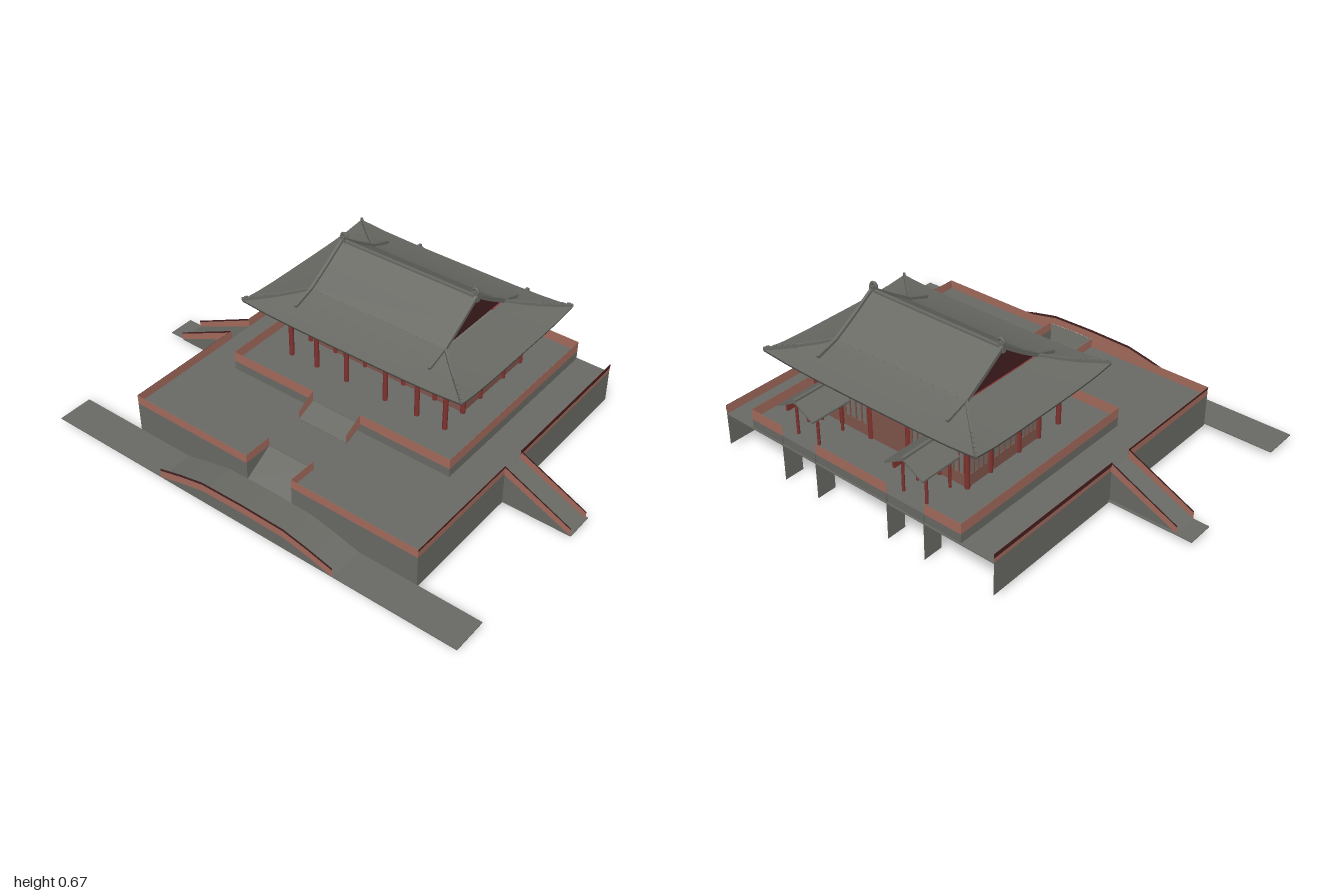
import * as THREE from 'three';

const mat = (name, color) => {
  const m = new THREE.MeshStandardMaterial({ color, side: THREE.DoubleSide });
  m.name = name;
  return m;
};

export function createModel() {
  const root = new THREE.Group();
  root.name = 'palaceHall';
  const stone = mat('stone', 0x6a6a65), tile = mat('roofTile', 0x696a64), pink = mat('parapetPink', 0xa56c5c),
    red = mat('columnRed', 0x80332f), maroon = mat('darkMaroon', 0x442021), rose = mat('screenRose', 0x80564d),
    panel = mat('panelGrey', 0x74726c);

  const add = (parent, name, geo, m) => {
    const mesh = new THREE.Mesh(geo, m);
    mesh.name = name;
    parent.add(mesh);
    return mesh;
  };
  // box given by its limits on each axis
  const box = (parent, name, m, x0, x1, y0, y1, z0, z1) => {
    const b = add(parent, name, new THREE.BoxGeometry(x1 - x0, y1 - y0, z1 - z0), m);
    b.position.set((x0 + x1) / 2, (y0 + y1) / 2, (z0 + z1) / 2);
    return b;
  };
  // outline in the x-y plane, extruded from z0 to z1
  const outline = pts => new THREE.Shape(pts.map(p => new THREE.Vector2(...p)));
  const slab = (parent, name, m, pts, z0, z1) => {
    const geo = new THREE.ExtrudeGeometry(outline(pts), { depth: z1 - z0, bevelEnabled: false });
    return add(parent, name, geo.translate(0, 0, z0), m);
  };
  // flat sheet with an outline in the x-y plane
  const sheet = (parent, name, m, pts, z) => add(parent, name, new THREE.ShapeGeometry(outline(pts)).translate(0, 0, z), m);
  // square bar between two points
  const bar = (parent, name, m, a, b, w, h) => {
    const p = new THREE.Vector3(...a), q = new THREE.Vector3(...b), dir = q.clone().sub(p);
    const geo = new THREE.BoxGeometry(w, h, dir.length());
    geo.applyMatrix4(new THREE.Matrix4().lookAt(q, p, new THREE.Vector3(0, 1, 0)));
    return add(parent, name, geo, m).position.copy(p).add(q).multiplyScalar(0.5);
  };
  // thin upright walls along one axis
  const T = 0.0004;
  const wallX = (g, n, m, x0, x1, z, y0, y1) => box(g, n, m, x0, x1, y0, y1, z - T, z + T);
  const wallZ = (g, n, m, x, z0, z1, y0, y1) => box(g, n, m, x - T, x + T, y0, y1, z0, z1);

  // ---- lower terrace: floor with a notch, thin walls on three sides
  const lower = new THREE.Group();
  lower.name = 'lowerTerrace';
  root.add(lower);
  const L = -0.638, R = 0.703, F = 0.572, B = -0.73, NL = -0.075, NR = 0.14, NZ = 0.445, Y = 0.162;
  slab(lower, 'lowerFloor', stone, [[L, -F], [NL, -F], [NL, -NZ], [NR, -NZ], [NR, -F], [R, -F], [R, -B], [L, -B]],
    Y - 0.004, Y).rotation.x = -Math.PI / 2;
  for (const [a, b] of [[L, NL], [NR, R]]) {
    wallX(lower, 'frontWall', stone, a, b, F, 0.02, Y);
    wallX(lower, 'frontParapet', pink, a, b, F, Y, 0.2);
  }
  for (const [x, s] of [[L, -1], [R, 1]]) {
    wallZ(lower, 'sideWall', stone, x, B, F, 0.02, Y);
    wallZ(lower, 'sideParapet', pink, x, 0.035, F, Y, 0.2);
    wallZ(lower, 'sideParapet', pink, x, B, -0.07, Y, 0.2);
    wallZ(lower, 'parapetBand', maroon, x + s * 0.0015, B, -0.07, 0.182, 0.2);
    wallZ(lower, 'parapetCoping', maroon, x + s * 0.0015, 0.035, F, 0.191, 0.2);
  }
  for (const x of [NL, NR]) {
    wallZ(lower, 'notchWall', stone, x, NZ, F, 0.02, Y);
    wallZ(lower, 'notchParapet', pink, x, NZ, F, Y, 0.2);
  }
  wallX(lower, 'notchBackWall', stone, NL, NR, NZ, 0.02, Y - 0.004);
  bar(lower, 'frontRamp', stone, [(NL + NR) / 2, Y - 0.003, NZ], [(NL + NR) / 2, 0.083, F], NR - NL, 0.004);

  // ---- paths and the arched bridge in front
  box(root, 'frontPath', stone, -0.94, 0.975, 0.026, 0.03, F, 0.722);
  box(root, 'crossPath', stone, -1, 1, 0.026, 0.03, -0.08, 0.035);
  const arch = [[-0.38, 0.03], [-0.27, 0.06], [-0.16, 0.084], [0.035, 0.088], [0.23, 0.084], [0.34, 0.06], [0.45, 0.03]];
  slab(root, 'bridge', stone, arch, F, 0.723);
  const raised = h => arch.map(([x, y]) => [x, y + h]);
  sheet(root, 'bridgeRail', pink, [...arch, ...raised(0.032).reverse()], 0.724);
  sheet(root, 'bridgeRailCap', maroon, [...raised(0.032), ...raised(0.043).reverse()], 0.724);

  // ---- side stairs
  for (const [x0, x1] of [[L, -0.932], [R, 0.995]]) {
    slab(root, 'sideStair', stone, [[x0, 0.02], [x1, 0.02], [x1, 0.03], [x0, Y]], -0.07, 0.035);
    for (const z of [-0.072, 0.037]) {
      sheet(root, 'stairRail', pink, [[x0, Y - 0.004], [x1, 0.026], [x1, 0.054], [x0, 0.193]], z);
      sheet(root, 'stairRailCap', maroon, [[x0, 0.193], [x1, 0.054], [x1, 0.061], [x0, 0.201]], z);
    }
  }

  // ---- upper terrace with parapet and front steps
  const upper = new THREE.Group();
  upper.name = 'upperTerrace';
  root.add(upper);
  const UL = -0.49, UR = 0.555, UF = 0.175, UB = -0.725, G = 0.2, P = 0.245;
  box(upper, 'upperFloor', stone, UL, UR, Y - 0.003, G, UB, UF);
  for (const x of [UL, UR]) wallZ(upper, 'upperSideParapet', pink, x, UB, UF, G, P);
  wallX(upper, 'upperFrontParapet', pink, UL, -0.085, UF, G, P);
  wallX(upper, 'upperFrontParapet', pink, 0.145, UR, UF, G, P);
  const gates = [-0.235, 0.3], gateHalf = 0.088;
  for (const [a, b] of [[UL, gates[0] - gateHalf], [gates[0] + gateHalf, gates[1] - gateHalf], [gates[1] + gateHalf, UR]])
    wallX(upper, 'upperBackParapet', pink, a, b, UB, G, P);
  bar(upper, 'upperSteps', stone, [0.03, G - 0.003, UF], [0.03, Y, 0.26], 0.23, 0.004);
  for (const x of [-0.085, 0.145])
    sheet(upper, 'stepRail', pink, [[-UF, G - 0.01], [-0.26, Y], [-0.26, G], [-UF, P]], x).rotation.y = Math.PI / 2;

  // ---- hall, centred on its own origin
  const hall = new THREE.Group();
  hall.name = 'hall';
  hall.position.set(0.035, 0, -0.26);
  root.add(hall);
  const cx = [-0.375, -0.245, -0.095, 0.095, 0.245, 0.375], cz = [0.26, 0.14, 0.025, -0.135, -0.26];
  const column = (x, z) => add(hall, 'column', new THREE.CylinderGeometry(0.0105, 0.0105, 0.2, 10), red).position.set(x, 0.3, z);
  for (const x of cx) for (const z of [0.26, 0.14, -0.26]) column(x, z);
  for (const x of [-0.375, 0.375]) for (const z of [0.025, -0.135]) column(x, z);
  box(hall, 'hallWalls', panel, -0.372, 0.372, G, 0.392, -0.257, 0.137);
  // framed screens between columns
  const screen = (width, x, z, turn, door) => {
    const g = new THREE.Group();
    g.name = 'screen';
    g.position.set(x, 0, z);
    g.rotation.y = turn;
    hall.add(g);
    const h = width / 2;
    if (door) return box(g, 'door', rose, -h, h, G, 0.385, 0, 0.004);
    box(g, 'screenTop', rose, -h, h, 0.345, 0.375, 0, 0.004);
    box(g, 'screenBase', rose, -h, h, G, 0.25, 0, 0.004);
    for (const s of [-1, 1]) box(g, 'screenFrame', rose, s * h * 0.86 - h * 0.14, s * h * 0.86 + h * 0.14, 0.25, 0.345, 0, 0.004);
    for (const s of [-0.4, 0, 0.4]) box(g, 'screenBar', rose, s * h - 0.003, s * h + 0.003, 0.25, 0.345, 0, 0.004);
  };
  for (let i = 0; i < 5; i++) {
    const mid = (cx[i] + cx[i + 1]) / 2, w = cx[i + 1] - cx[i];
    screen(w, mid, 0.137, 0, i === 2);
    screen(w, mid, -0.257, Math.PI, i === 2);
  }
  for (let i = 1; i < 4; i++) for (const s of [-1, 1])
    screen(cz[i] - cz[i + 1], s * 0.372, (cz[i] + cz[i + 1]) / 2, s * Math.PI / 2, false);

  // ---- roof: rectangular rings [half x, half z, y, corner lift] joined in bands
  const N = 8;
  const loft = (name, m, rings) => {
    const pos = [], idx = [], corners = [[1, 1], [1, -1], [-1, -1], [-1, 1]];
    rings.forEach(([hx, hz, y, lift = 0], r) => {
      corners.forEach(([ax, az], s) => {
        const [bx, bz] = corners[(s + 1) % 4];
        for (let k = 0; k <= N; k++) {
          const t = k / N;
          pos.push(hx * (ax + (bx - ax) * t), y + lift * Math.abs(2 * t - 1) ** 4, hz * (az + (bz - az) * t));
          if (r && k) {
            const d = r * 4 * (N + 1) + s * (N + 1) + k, u = d - 4 * (N + 1);
            idx.push(u - 1, d - 1, d, u - 1, d, u);
          }
        }
      });
    });
    const geo = new THREE.BufferGeometry();
    geo.setAttribute('position', new THREE.Float32BufferAttribute(pos, 3));
    geo.setIndex(idx);
    geo.computeVertexNormals();
    add(hall, name, geo, m);
  };
  loft('skirtRoof', tile, [[0.317, 0.195, 0.507], [0.42, 0.285, 0.474, 0.003], [0.52, 0.38, 0.455, 0.014]]);
  loft('eaveEdge', tile, [[0.52, 0.38, 0.455, 0.014], [0.518, 0.378, 0.446, 0.014], [0.465, 0.325, 0.437]]);
  loft('eaveSoffit', red, [[0.465, 0.325, 0.437], [0.375, 0.262, 0.388]]);
  box(hall, 'ceiling', red, -0.38, 0.38, 0.386, 0.392, -0.265, 0.265);
  // main slopes as thin sheets meeting the skirt edge to edge
  const slope = [[0, 0.634], [0.1, 0.566], [0.195, 0.507]];
  for (const s of [-1, 1]) {
    for (let i = 0; i < 2; i++) {
      const [d0, y0] = slope[i], [d1, y1] = slope[i + 1];
      bar(hall, 'mainRoof', tile, [0, y0, s * d0], [0, y1, s * d1], 0.636, 0.0008);
      for (const x of [-0.317, 0.317]) bar(hall, 'vergeRidge', tile, [x, y0 + 0.003, s * d0], [x, y1 + 0.003, s * d1], 0.012, 0.016);
    }
    for (const x of [-0.317, 0.317]) {
      bar(hall, 'vergeRidge', tile, [x, 0.51, s * 0.195], [x, 0.476, s * 0.295], 0.012, 0.016);
      // hip ridge with a row of small blocks
      const hip = t => [Math.sign(x) * (0.317 + 0.203 * t), 0.509 - 0.055 * t + 0.018 * t * t, s * (0.195 + 0.185 * t)];
      for (let k = 0; k < 4; k++) bar(hall, 'hipRidge', tile, hip(k / 4), hip((k + 1) / 4), 0.01, 0.012);
      for (let k = 0; k < 5; k++) bar(hall, 'hipFigure', tile, hip(0.55 + k * 0.09), hip(0.6 + k * 0.09), 0.009, 0.022);
    }
  }
  // gables, top ridge and curled ridge ends
  for (const s of [-1, 1]) {
    const gable = slab(hall, 'gable', maroon, [[-0.19, 0.503], [0.19, 0.503], [0.1, 0.563], [0, 0.631], [-0.1, 0.563]], -0.002, 0.002);
    gable.rotation.y = Math.PI / 2;
    gable.position.x = s * 0.305;
    box(hall, 'ridgeEnd', tile, s * 0.315 - 0.011, s * 0.315 + 0.011, 0.615, 0.655, -0.008, 0.008);
    const curl = add(hall, 'ridgeCurl', new THREE.TorusGeometry(0.013, 0.007, 6, 12, Math.PI * 1.1), tile);
    curl.position.set(s * 0.309, 0.654, 0);
    curl.rotation.y = s > 0 ? 0 : Math.PI;
  }
  box(hall, 'topRidge', tile, -0.31, 0.31, 0.62, 0.638, -0.007, 0.007);

  // ---- two small back gates with gabled roofs
  for (const x of gates) {
    const g = new THREE.Group();
    g.name = 'backGate';
    g.position.x = x;
    root.add(g);
    slab(g, 'gateGable', tile, [[-0.06, 0.352], [0.06, 0.352], [0, 0.387]], -0.7, -0.57);
    box(g, 'gateRidge', tile, -0.006, 0.006, 0.385, 0.4, -0.73, -0.54);
    for (const s of [-1, 1]) {
      slab(g, 'gateRoof', tile, [[0, 0.395], [s * 0.09, 0.342], [s * 0.09, 0.334], [0, 0.386]], -0.73, -0.54);
      box(g, 'gateBeam', red, s * 0.055 - 0.005, s * 0.055 + 0.005, 0.325, 0.352, -0.72, -0.55);
      for (const z of [-0.555, -0.675])
        add(g, 'gatePost', new THREE.CylinderGeometry(0.006, 0.006, 0.15, 8), red).position.set(s * 0.055, 0.275, z);
      wallZ(g, 'gateFootWall', stone, s * gateHalf, -0.73, -0.642, 0, G - 0.002);
    }
  }
  return root;
}
